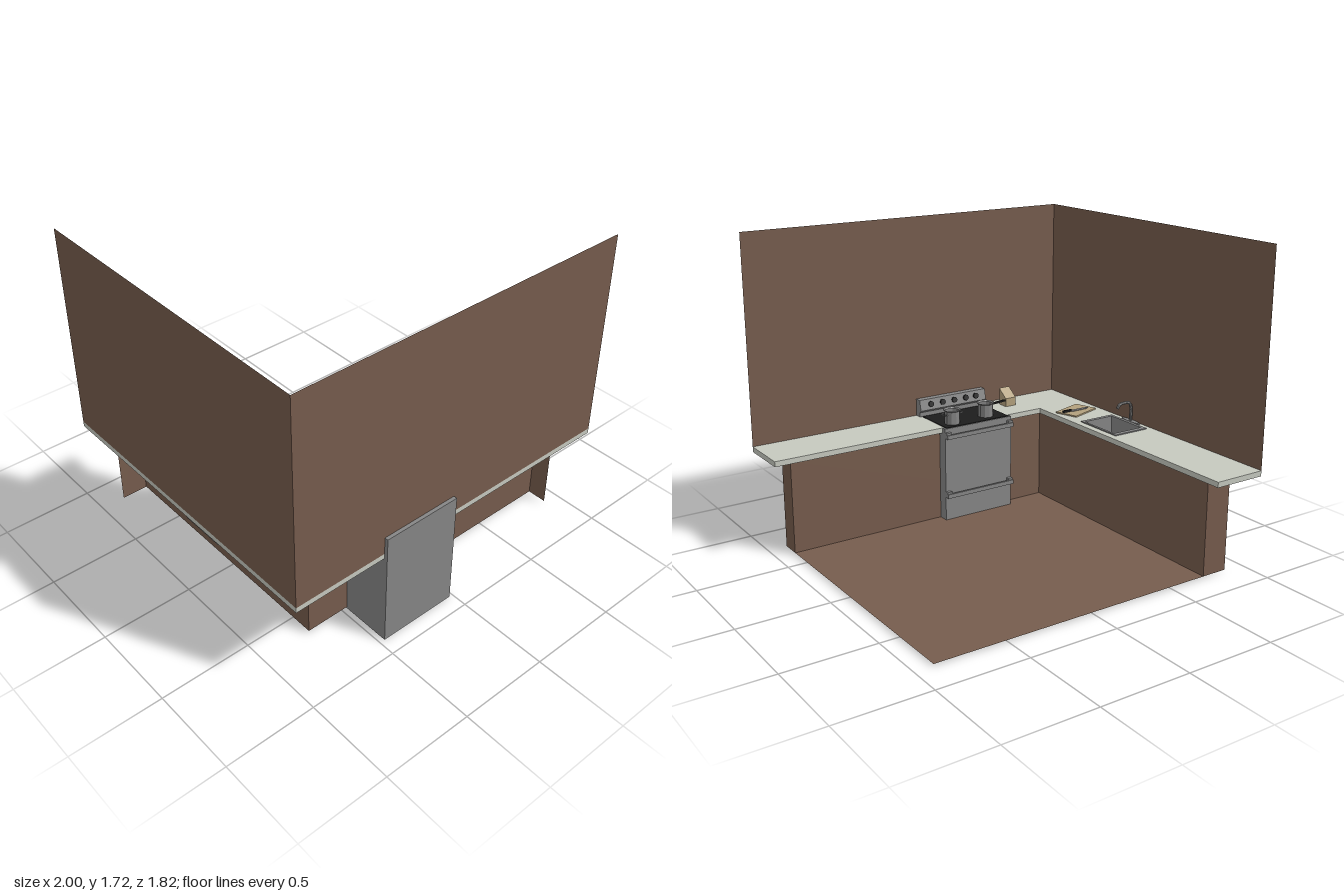
import * as THREE from 'three';

const mat = (color, side = THREE.FrontSide) =>
  new THREE.MeshStandardMaterial({ color, side, flatShading: true });

export function createModel() {
  const root = new THREE.Group();
  root.name = 'kitchenCorner';
  const brown = mat(0x765c4d, THREE.DoubleSide);
  const stone = mat(0xc6c9bf);
  const steel = mat(0x868686);
  const steelThin = mat(0x868686, THREE.DoubleSide);
  const black = mat(0x1c1c1c);
  const wood = mat(0xb3a17d);

  const add = (name, geo, material, parent = root) => {
    const m = new THREE.Mesh(geo, material);
    m.name = name;
    parent.add(m);
    return m;
  };
  const group = (name) => {
    const g = new THREE.Group();
    g.name = name;
    root.add(g);
    return g;
  };
  // Box from its minimum and maximum corners
  const box = (name, x0, x1, y0, y1, z0, z1, material, parent) => {
    const g = new THREE.BoxGeometry(x1 - x0, y1 - y0, z1 - z0);
    g.translate((x0 + x1) / 2, (y0 + y1) / 2, (z0 + z1) / 2);
    return add(name, g, material, parent);
  };
  const panelZ = (name, x0, x1, y0, y1, z) => {
    const g = new THREE.PlaneGeometry(x1 - x0, y1 - y0);
    return add(name, g.translate((x0 + x1) / 2, (y0 + y1) / 2, z), brown);
  };
  const panelX = (name, z0, z1, y0, y1, x) => {
    const g = new THREE.PlaneGeometry(z1 - z0, y1 - y0).rotateY(Math.PI / 2);
    return add(name, g.translate(x, (y0 + y1) / 2, (z0 + z1) / 2), brown);
  };
  const outline = (pts, Type = THREE.Shape) => new Type(pts.map(([x, y]) => new THREE.Vector2(x, y)));
  const rect = (x0, x1, z0, z1, Type) => outline([[x0, z0], [x1, z0], [x1, z1], [x0, z1]], Type);
  // Horizontal slab whose outline is given in x and z
  const slab = (name, shape, top, depth, material, parent) => {
    const g = new THREE.ExtrudeGeometry(shape, { depth, bevelEnabled: false });
    return add(name, g.rotateX(Math.PI / 2).translate(0, top, 0), material, parent);
  };
  // Solid with a side profile in z and y, running along x
  const profileX = (name, pts, x0, x1, material, parent) => {
    const shape = outline(pts.map(([z, y]) => [-z, y]));
    const g = new THREE.ExtrudeGeometry(shape, { depth: x1 - x0, bevelEnabled: false });
    return add(name, g.rotateY(Math.PI / 2).translate(x0, 0, 0), material, parent);
  };

  // Floor and walls
  const floor = new THREE.PlaneGeometry(1.62, 1.45).rotateX(-Math.PI / 2);
  add('floor', floor.translate(0.09, 0.01, -0.095), brown);
  panelZ('longWall', -1, 1, 0.56, 1.72, 0.89);
  panelX('sideWall', -0.91, 0.89, 0.56, 1.72, -1);

  // Cabinet fronts and their short end returns
  panelZ('cabinetFrontLong', -0.72, 0.9, 0.01, 0.53, 0.63);
  panelX('cabinetEndLong', 0.63, 0.74, 0.01, 0.53, 0.9);
  panelX('cabinetFrontSide', -0.82, 0.63, 0.01, 0.53, -0.72);
  panelZ('cabinetEndSide', -0.87, -0.72, 0.01, 0.53, -0.82);

  // L-shaped worktop with the sink cut-out
  const top = outline([[-1, -0.91], [-0.7, -0.91], [-0.7, 0.6], [1, 0.6], [1, 0.89], [-1, 0.89]]);
  top.holes.push(rect(-0.95, -0.75, -0.035, 0.23, THREE.Path));
  slab('worktop', top, 0.56, 0.03, stone);

  // Sink: flat rim and thin open bowl
  const sink = group('sink');
  const rim = rect(-0.965, -0.74, -0.06, 0.25);
  rim.holes.push(rect(-0.947, -0.753, -0.032, 0.227, THREE.Path));
  slab('sinkRim', rim, 0.566, 0.006, steel, sink);
  const bowl = rect(-0.95, -0.75, -0.035, 0.23);
  bowl.holes.push(rect(-0.947, -0.753, -0.032, 0.227, THREE.Path));
  slab('sinkBowl', bowl, 0.56, 0.12, steel, sink);
  box('sinkBottom', -0.95, -0.75, 0.44, 0.445, -0.035, 0.23, steel, sink);

  // Faucet: oval base plate and bent spout
  const faucet = group('faucet');
  const plate = new THREE.CylinderGeometry(1, 1, 0.008, 16);
  add('faucetBase', plate.scale(0.016, 1, 0.078).translate(-0.98, 0.564, 0.095), steel, faucet);
  const spoutPath = new THREE.CatmullRomCurve3(
    [[-0.977, 0.56], [-0.977, 0.65], [-0.965, 0.676], [-0.94, 0.681], [-0.895, 0.677], [-0.878, 0.655]]
      .map(([x, y]) => new THREE.Vector3(x, y, 0.095)));
  add('faucetSpout', new THREE.TubeGeometry(spoutPath, 20, 0.009, 8), steelThin, faucet);

  // Stove body, hob and sloped control panel
  const stove = group('stove');
  box('stoveBody', -0.47, -0.02, 0, 0.56, 0.57, 0.91, steel, stove);
  box('hob', -0.455, -0.033, 0.56, 0.564, 0.575, 0.84, black, stove);
  profileX('controlPanel', [[0.91, 0.56], [0.91, 0.66], [0.85, 0.66], [0.836, 0.598], [0.85, 0.585], [0.85, 0.56]],
    -0.47, -0.02, steel, stove);
  for (const x of [-0.4, -0.33, -0.25, -0.17, -0.09]) {
    const knob = add('knob', new THREE.CylinderGeometry(0.017, 0.017, 0.014, 10).rotateX(Math.PI / 2), black, stove);
    knob.position.set(x, 0.63, 0.84);
    knob.rotation.x = 0.22;
  }
  // Bar handles on the door and the drawer
  for (const y of [0.515, 0.16]) {
    box('handleBar', -0.47, -0.02, y - 0.012, y + 0.012, 0.543, 0.556, steel, stove);
    for (const x of [-0.47, -0.05])
      box('handleBracket', x, x + 0.03, y - 0.01, y + 0.024, 0.55, 0.571, steel, stove);
  }

  // Open pots with a slightly flared lip
  const pot = (name, x, z) => {
    const g = group(name);
    const pts = [[0, 0], [0.045, 0], [0.045, 0.074], [0.053, 0.08], [0.05, 0.082], [0.042, 0.074], [0.042, 0.005], [0, 0.005]];
    add('potBody', new THREE.LatheGeometry(pts.map(([r, y]) => new THREE.Vector2(r, y)), 10), steelThin, g);
    g.position.set(x, 0.564, z);
    return g;
  };
  const saucepan = pot('saucepan', -0.345, 0.65);
  const grip = box('panHandle', -0.155, -0.045, 0.056, 0.066, -0.006, 0.006, black, saucepan);
  grip.rotation.y = 0.17;
  const stewPot = pot('stewPot', -0.11, 0.64);
  for (const s of [-1, 1]) {
    const loop = new THREE.TorusGeometry(0.022, 0.004, 6, 10, Math.PI).rotateX(Math.PI / 2);
    const m = add('potHandle', loop.rotateY(s * Math.PI / 2), steelThin, stewPot);
    m.position.set(s * 0.043, 0.058, 0);
  }

  // Cutting board with a knife lying on it
  const board = box('cuttingBoard', -0.103, 0.103, 0, 0.008, -0.071, 0.071, wood);
  board.position.set(-0.845, 0.56, 0.435);
  board.rotation.y = 0.32;
  const knife = group('knife');
  const blade = outline([[-0.93, 0.43], [-0.91, 0.417], [-0.8, 0.415], [-0.8, 0.438], [-0.92, 0.436]]);
  slab('knifeBlade', blade, 0.573, 0.004, steel, knife);
  box('knifeHandle', -0.805, -0.745, 0.568, 0.58, 0.424, 0.437, black, knife);

  // Wedge-shaped knife block
  profileX('knifeBlock', [[0.81, 0.56], [0.81, 0.66], [0.74, 0.61], [0.74, 0.56]], -0.62, -0.55, wood);

  return root;
}
